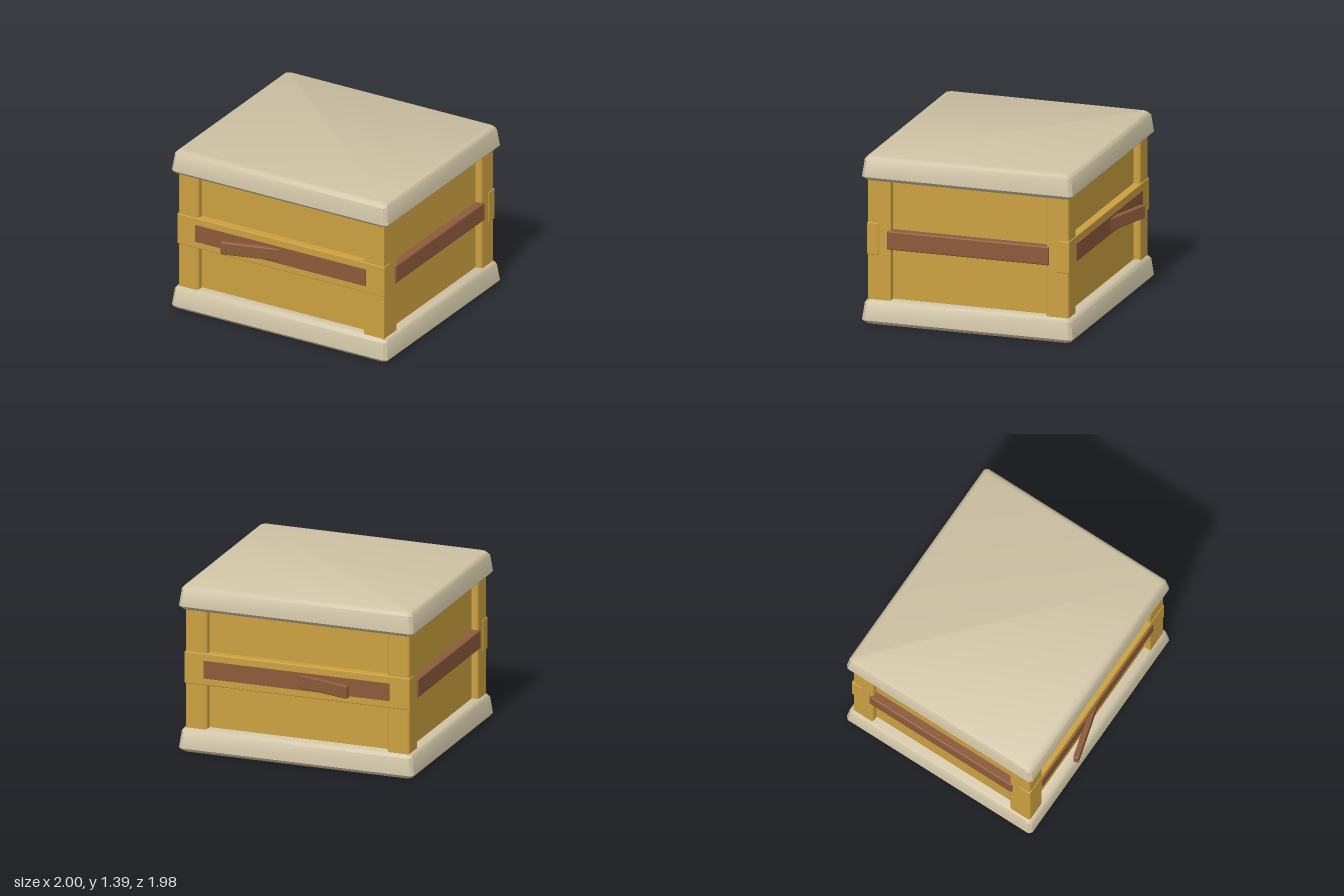
import * as THREE from 'three';
import { RoundedBoxGeometry } from 'three/addons/geometries/RoundedBoxGeometry.js';
import { toCreasedNormals } from 'three/addons/utils/BufferGeometryUtils.js';

const mat = (name, color) => {
  const m = new THREE.MeshStandardMaterial({ color });
  m.name = name;
  return m;
};

// Loft of corner-cut rectangles [y, halfX, halfZ], closed at both ends
function loft(sections, cut) {
  const pos = [], idx = [], n = 8;
  for (const [y, a, b] of sections) {
    const c = cut;
    [[a, b - c], [a - c, b], [c - a, b], [-a, b - c], [-a, c - b], [c - a, -b], [a - c, -b], [a, c - b]]
      .forEach(([x, z]) => pos.push(x, y, z));
  }
  for (let s = 0; s < sections.length - 1; s++) {
    for (let i = 0; i < n; i++) {
      const a = s * n + i, b = s * n + (i + 1) % n;
      idx.push(a, a + n, b, b, a + n, b + n);
    }
  }
  const top = (sections.length - 1) * n;
  for (let i = 1; i < n - 1; i++) {
    idx.push(0, i, i + 1);
    idx.push(top, top + i + 1, top + i);
  }
  const g = new THREE.BufferGeometry();
  g.setAttribute('position', new THREE.Float32BufferAttribute(pos, 3));
  g.setIndex(idx);
  return toCreasedNormals(g, 0.6);
}

export function createModel() {
  const model = new THREE.Group();
  model.name = 'crate';
  const cream = mat('cream', 0xcfc3a5);
  const wood = mat('golden wood', 0xcba041);
  const brown = mat('brown', 0x8c5a3a);

  const add = (name, geometry, material, x, y, z) => {
    const mesh = new THREE.Mesh(geometry, material);
    mesh.name = name;
    mesh.position.set(x, y, z);
    model.add(mesh);
    return mesh;
  };
  const rounded = (w, h, d, r) => new RoundedBoxGeometry(w, h, d, 2, r);

  // Base and lid: tapered slabs with soft chamfers
  const slab = loft([
    [0, 0.965, 0.85], [0.01, 0.98, 0.865], [0.032, 1, 0.885],
    [0.172, 0.982, 0.868], [0.195, 0.965, 0.85], [0.205, 0.948, 0.835],
  ], 0.025);
  add('base', slab, cream, 0, 0, 0);
  add('lid', slab, cream, 0, 1.185, 0);

  // Recessed body panels
  add('body', new THREE.BoxGeometry(1.8, 1.02, 1.57), wood, 0, 0.695, 0);

  // Corner posts
  for (const x of [-1, 1]) {
    for (const z of [-1, 1]) {
      const radius = x > 0 && z > 0 ? 0.004 : 0.022;
      add('cornerPost', rounded(0.187, 1.03, 0.193, radius), wood, x * 0.861, 0.695, z * 0.747);
    }
  }

  for (const s of [-1, 1]) {
    // Front and back rail with an inlaid band
    add('rail', rounded(1.92, 0.265, 0.1, 0.008), wood, 0, 0.7025, s * 0.8);
    add('railBand', new THREE.BoxGeometry(1.58, 0.145, 0.009), brown, 0, 0.7025, s * 0.8535);

    // Handle bar swung outwards at one end
    const handle = add('handle', rounded(0.5, 0.107, 0.046, 0.01), brown, -0.24, 0.7025, s * 0.9);
    handle.rotation.y = s * 0.275;

    // Side strap
    add('sideStrap', rounded(0.09, 0.155, 1.36, 0.012), brown, s * 0.925, 0.7025, 0);
  }

  return model;
}
